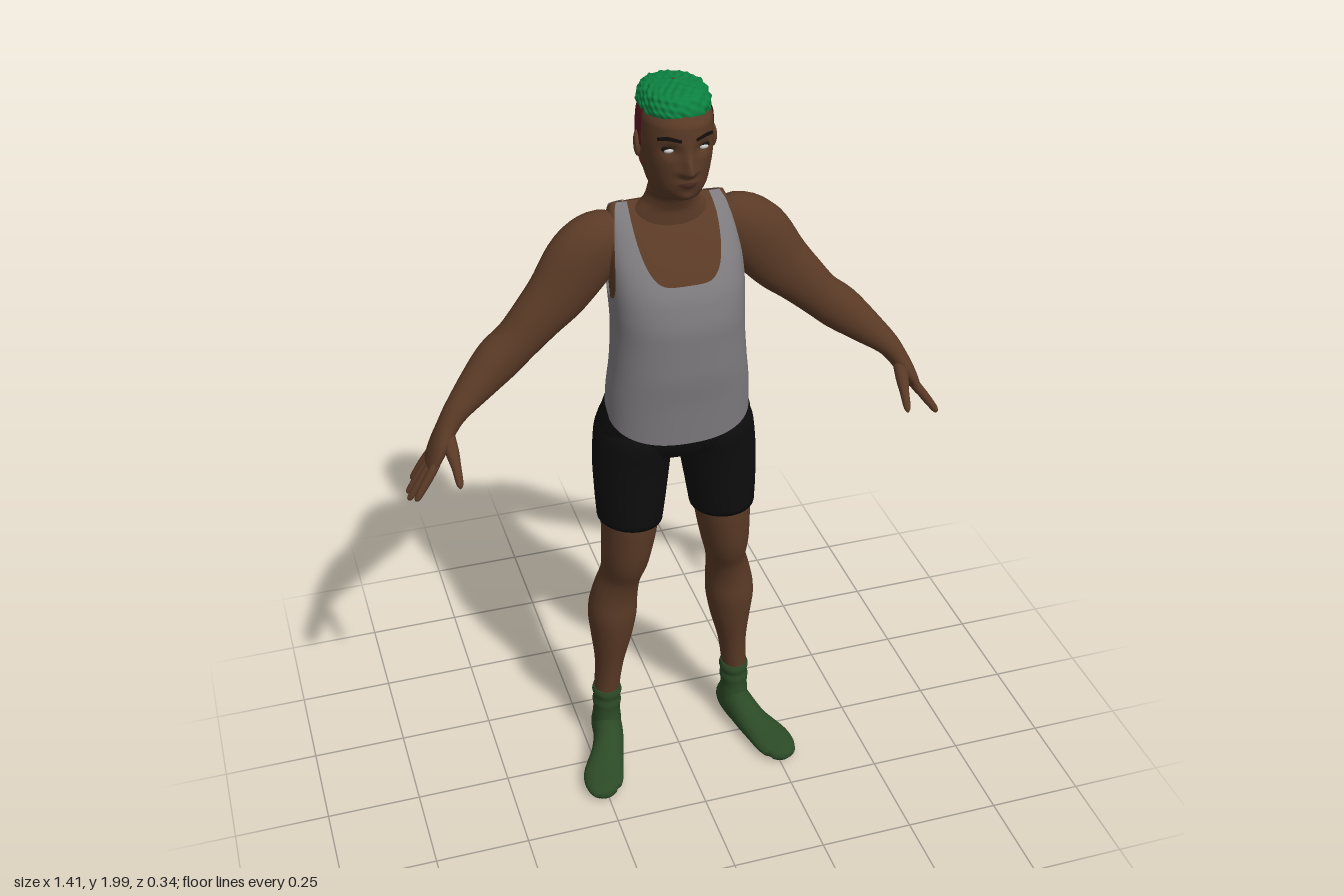
import * as THREE from 'three';

const mat = (color) => new THREE.MeshStandardMaterial({ color, side: THREE.DoubleSide });
const skin = mat(0x5a3a26), cloth = mat(0x7d7a7d), black = mat(0x0d0d0d), sock = mat(0x2c4a26);
const green = mat(0x0c8040), maroon = mat(0x5c1820), white = mat(0xe8e8e8), dark = mat(0x17100c), lip = mat(0x4a2a20);

const gauss = (d, w) => Math.exp(-(d * d) / (w * w));
const spow = (c, e) => Math.sign(c) * Math.abs(c) ** e;

function gridMesh(name, material, pos, index) {
  const g = new THREE.BufferGeometry();
  g.setAttribute('position', new THREE.Float32BufferAttribute(pos, 3));
  g.setIndex(index);
  g.computeVertexNormals();
  const m = new THREE.Mesh(g, material);
  m.name = name;
  return m;
}

// Smooth, overshoot-free interpolation of rows [y, ...values]
function sample(keys, y) {
  let i = 0;
  while (i < keys.length - 2 && y > keys[i + 1][0]) i++;
  const h = keys[i + 1][0] - keys[i][0];
  const t = Math.min(1, Math.max(0, (y - keys[i][0]) / h));
  const slope = (k, c) => (keys[k + 1][c] - keys[k][c]) / (keys[k + 1][0] - keys[k][0]);
  const tangent = (k, c) => {
    if (k === 0) return slope(0, c);
    if (k === keys.length - 1) return slope(k - 1, c);
    const a = slope(k - 1, c), b = slope(k, c);
    return a * b <= 0 ? 0 : (2 * a * b) / (a + b);
  };
  return keys[0].slice(1).map((_, n) => {
    const c = n + 1, t2 = t * t, t3 = t2 * t;
    return (2 * t3 - 3 * t2 + 1) * keys[i][c] + (t3 - 2 * t2 + t) * h * tangent(i, c)
      + (3 * t2 - 2 * t3) * keys[i + 1][c] + (t3 - t2) * h * tangent(i + 1, c);
  });
}

// Body surface from rows [y, back z, front z, half width, roundness]
const surface = (keys, deform) => (a, y, off) => {
  const [back, front, rx, e] = sample(keys, y);
  const p = new THREE.Vector3(
    Math.max(0.001, rx + off) * spow(Math.cos(a), e), y,
    (front + back) / 2 + Math.max(0.001, (front - back) / 2 + off) * spow(Math.sin(a), e));
  if (deform) deform(p, a);
  return p;
};

// Patch of a body surface between two heights that may vary with the angle
function shell(name, material, surf, lo, hi, { off = 0, from = -Math.PI / 2, to = Math.PI * 1.5, cols = 96, rows = 40 } = {}) {
  const closed = to - from > 6.28, n = closed ? cols : cols + 1, pos = [], index = [];
  for (let i = 0; i <= rows; i++) for (let j = 0; j < n; j++) {
    const a = from + ((to - from) * j) / cols, v = 1 - (1 - i / rows) ** 2;
    const l = lo.call ? lo(a) : lo, h = hi.call ? hi(a) : hi;
    pos.push(...surf(a, l + (h - l) * v, off).toArray());
    if (i < rows && j < cols) {
      const k = (j + 1) % n, r = i * n, s = r + n;
      index.push(r + j, s + j, s + k, r + j, s + k, r + k);
    }
  }
  return gridMesh(name, material, pos, index);
}

// Elliptical limb through rows [x, y, z, radius along ref, radius across]
function loft(name, material, rows, ref, sides = 28, sub = 5) {
  const path = new THREE.CatmullRomCurve3(rows.map((r) => new THREE.Vector3(...r)), false, 'catmullrom');
  const radii = new THREE.CatmullRomCurve3(rows.map((r) => new THREE.Vector3(r[3], r[4], 0)), false, 'catmullrom');
  const N = (rows.length - 1) * sub, pos = [], index = [];
  for (let i = 0; i <= N; i++) {
    const c = path.getPoint(i / N), r = radii.getPoint(i / N), T = path.getTangent(i / N);
    const A = ref.clone().addScaledVector(T, -ref.dot(T)).normalize(), B = T.clone().cross(A);
    for (let j = 0; j < sides; j++) {
      const a = (j / sides) * Math.PI * 2, k = (j + 1) % sides, p = i * sides, q = p + sides;
      pos.push(...c.clone().addScaledVector(A, r.x * Math.cos(a)).addScaledVector(B, r.y * Math.sin(a)).toArray());
      if (i < N) index.push(p + j, p + k, q + k, p + j, q + k, q + j);
    }
  }
  const end = pos.length / 3, last = N * sides;
  pos.push(...path.getPoint(0).toArray(), ...path.getPoint(1).toArray());
  for (let j = 0; j < sides; j++) {
    const k = (j + 1) % sides;
    index.push(end, k, j, end + 1, last + j, last + k);
  }
  return gridMesh(name, material, pos, index);
}

function ball(name, material, p, s) {
  const m = new THREE.Mesh(new THREE.SphereGeometry(1, 20, 14), material);
  m.name = name;
  m.position.set(...p);
  m.scale.set(...s);
  return m;
}

const X = new THREE.Vector3(1, 0, 0), Z = new THREE.Vector3(0, 0, 1);

const torso = surface([
  [1.08, -0.14, 0.098, 0.186, 0.85], [1.2, -0.135, 0.106, 0.182, 0.85], [1.3, -0.133, 0.115, 0.171, 0.85],
  [1.4, -0.14, 0.115, 0.165, 0.82], [1.48, -0.15, 0.1, 0.167, 0.78], [1.55, -0.158, 0.062, 0.168, 0.72],
  [1.6, -0.16, 0.022, 0.165, 0.7], [1.64, -0.155, -0.015, 0.16, 0.7], [1.665, -0.142, -0.045, 0.155, 0.7],
  [1.685, -0.098, -0.086, 0.145, 0.7]]);

const pelvis = surface([
  [1.015, -0.1, 0.03, 0.08, 0.9], [1.035, -0.15, 0.065, 0.17, 0.9], [1.08, -0.168, 0.082, 0.2, 0.85],
  [1.15, -0.153, 0.088, 0.186, 0.85], [1.22, -0.125, 0.085, 0.165, 0.85]]);

// Nose, eye sockets, lips and chin are pushed out of the plain head form
const head = surface([
  [1.64, -0.14, -0.02, 0.105, 1], [1.67, -0.128, -0.02, 0.09, 1], [1.695, -0.118, -0.012, 0.068, 1],
  [1.722, -0.115, 0.005, 0.06, 1], [1.74, -0.116, 0.055, 0.06, 1], [1.77, -0.12, 0.07, 0.07, 0.95],
  [1.8, -0.13, 0.074, 0.078, 0.95], [1.84, -0.14, 0.077, 0.085, 0.95], [1.88, -0.143, 0.079, 0.087, 0.95],
  [1.92, -0.14, 0.077, 0.085, 0.95], [1.95, -0.132, 0.058, 0.076, 1], [1.975, -0.11, 0.03, 0.056, 1],
  [1.988, -0.06, -0.02, 0.01, 1]], (p, a) => {
  if (Math.sin(a) < 0.2) return;
  const ax = Math.abs(p.x), y = p.y;
  p.z += 0.026 * gauss(ax, 0.012 + 0.006 * gauss(y - 1.815, 0.015)) * gauss(y - 1.818, y > 1.818 ? 0.038 : 0.012)
    - 0.012 * gauss(ax - 0.038, 0.02) * gauss(y - 1.868, 0.016)
    + 0.007 * gauss(ax, 0.022) * gauss(y - 1.785, 0.012)
    + 0.006 * gauss(ax, 0.02) * gauss(y - 1.748, 0.012);
});

// Bumpy cropped curls
const curls = surface([
  [1.928, -0.14, 0.058, 0.079, 0.9], [1.95, -0.147, 0.062, 0.083, 0.9], [1.978, -0.135, 0.047, 0.075, 0.9],
  [1.99, -0.11, 0.022, 0.056, 0.95], [1.997, -0.05, -0.04, 0.003, 1]], (p) => {
  const b = Math.sin(p.x * 210 + p.y * 90) * Math.sin(p.z * 190 + p.x * 60) * Math.cos(p.y * 230 + p.z * 40);
  p.x *= 1 + 0.04 * b;
  p.y += 0.003 * b;
  p.z += 0.003 * b * Math.sign(p.z + 0.045);
});

function buildHead() {
  const g = new THREE.Group();
  g.name = 'head';
  g.add(shell('headAndNeck', skin, head, 1.64, 1.988, { cols: 160, rows: 120 }),
    shell('curlyHair', green, curls, (a) => 1.932 + 0.012 * Math.max(0, Math.sin(a)) ** 2, 1.997, { cols: 140, rows: 40 }),
    shell('shavedHair', maroon, head, (a) => 1.86 - 0.09 * Math.min(1, Math.max(0, 0.12 - Math.sin(a)) * 1.6), 1.945,
      { off: 0.003, from: -Math.PI * 1.06, to: Math.PI * 0.06 }));
  const mouth = (a) => 0.009 * Math.cos(((a - Math.PI / 2) / 0.32) * Math.PI / 2);
  g.add(shell('lips', lip, head, (a) => 1.786 - mouth(a), (a) => 1.786 + mouth(a) * 0.8,
    { off: 0.0015, from: Math.PI / 2 - 0.32, to: Math.PI / 2 + 0.32, cols: 24, rows: 8 }));
  for (const s of [1, -1]) {
    const mid = Math.PI / 2 - s * 0.5;
    g.add(shell('eyebrow', dark, head, (a) => 1.89 + 0.006 * gauss(a - mid, 0.3), (a) => 1.897 + 0.009 * gauss(a - mid, 0.3),
      { off: 0.003, from: mid - 0.32, to: mid + 0.32, cols: 20, rows: 6 }));
    g.add(ball('eyelid', dark, [s * 0.04, 1.871, 0.05], [0.0175, 0.0105, 0.0125]));
    g.add(ball('eye', white, [s * 0.041, 1.869, 0.053], [0.0135, 0.0075, 0.012]));
    const ear = ball('ear', skin, [s * 0.09, 1.856, -0.035], [0.009, 0.031, 0.019]);
    ear.rotation.set(-0.15, s * 0.35, 0);
    g.add(ear);
  }
  return g;
}

function buildArm() {
  const g = new THREE.Group();
  g.name = 'arm';
  g.add(loft('armAndPalm', skin, [
    [0.11, 1.6, -0.088, 0.04, 0.045], [0.17, 1.597, -0.086, 0.06, 0.074], [0.22, 1.555, -0.08, 0.062, 0.088],
    [0.28, 1.48, -0.072, 0.055, 0.079], [0.335, 1.425, -0.066, 0.051, 0.067], [0.39, 1.37, -0.062, 0.05, 0.058],
    [0.445, 1.325, -0.055, 0.05, 0.058], [0.505, 1.275, -0.035, 0.042, 0.046], [0.56, 1.228, -0.012, 0.033, 0.032],
    [0.588, 1.192, -0.002, 0.034, 0.026], [0.612, 1.152, 0.006, 0.044, 0.022], [0.633, 1.113, 0.01, 0.044, 0.016],
    [0.641, 1.098, 0.01, 0.034, 0.01]], Z));
  // Fingers: base z, tip [x, y, z]
  for (const [z, tip] of [[0.042, [0.688, 1.035, 0.062]], [0.02, [0.702, 1.02, 0.03]],
    [-0.002, [0.7, 1.022, 0.002]], [-0.023, [0.682, 1.035, -0.036]]]) {
    const at = (t, r) => [0.628 + (tip[0] - 0.628) * t, 1.12 + (tip[1] - 1.12) * t, z + (tip[2] - z) * t, r, r];
    g.add(loft('finger', skin, [at(0, 0.011), at(0.4, 0.0115), at(0.75, 0.0095), at(0.95, 0.007), at(1, 0.002)], Z, 12, 3));
  }
  g.add(loft('thumb', skin, [[0.59, 1.185, 0.01, 0.016, 0.016], [0.588, 1.15, 0.045, 0.017, 0.016],
    [0.585, 1.12, 0.075, 0.012, 0.012], [0.584, 1.09, 0.1, 0.009, 0.009], [0.584, 1.08, 0.108, 0.002, 0.002]], X, 12, 3));
  return g;
}

function buildLeg() {
  const g = new THREE.Group();
  g.name = 'leg';
  g.add(loft('shortsLeg', black, [
    [0.1, 1.15, -0.04, 0.07, 0.09], [0.106, 1.08, -0.045, 0.097, 0.122], [0.115, 1.0, -0.042, 0.1, 0.114],
    [0.122, 0.9, -0.032, 0.093, 0.102], [0.126, 0.82, -0.028, 0.085, 0.097]], X));
  g.add(loft('bareLeg', skin, [
    [0.126, 0.87, -0.028, 0.075, 0.09], [0.128, 0.8, -0.028, 0.073, 0.091], [0.138, 0.7, -0.033, 0.064, 0.081],
    [0.148, 0.62, -0.05, 0.054, 0.064], [0.16, 0.55, -0.065, 0.061, 0.066], [0.168, 0.48, -0.072, 0.066, 0.073],
    [0.172, 0.4, -0.075, 0.056, 0.065], [0.18, 0.3, -0.075, 0.039, 0.047], [0.19, 0.19, -0.078, 0.034, 0.038]], X));
  g.add(loft('sockCuff', sock, [
    [0.188, 0.212, -0.078, 0.037, 0.041], [0.188, 0.196, -0.078, 0.041, 0.044], [0.189, 0.178, -0.078, 0.037, 0.041],
    [0.189, 0.16, -0.078, 0.04, 0.043], [0.19, 0.135, -0.078, 0.037, 0.042], [0.19, 0.09, -0.08, 0.04, 0.049],
    [0.19, 0.05, -0.08, 0.038, 0.05]], X));
  g.add(loft('sockFoot', sock, [
    [0.186, 0.046, -0.141, 0.012, 0.016], [0.187, 0.05, -0.128, 0.033, 0.04], [0.19, 0.06, -0.09, 0.042, 0.051],
    [0.198, 0.062, -0.035, 0.042, 0.053], [0.216, 0.048, 0.02, 0.045, 0.039], [0.246, 0.036, 0.09, 0.055, 0.027],
    [0.256, 0.031, 0.135, 0.048, 0.022], [0.254, 0.027, 0.16, 0.027, 0.016], [0.253, 0.026, 0.168, 0.006, 0.005]], X));
  return g;
}

export function createModel() {
  const model = new THREE.Group();
  model.name = 'standingMan';
  // Vest outline: scooped neck, narrow straps, round armholes, hem lower in front
  const hem = (a) => 1.148 - 0.055 * Math.sin(a);
  const vestTop = (a) => {
    const c = Math.abs(Math.cos(a)), low = Math.sin(a) > 0 ? 1.525 : 1.615;
    if (c < 0.6) return low + (1.685 - low) * (c / 0.6) ** 4;
    if (c > 0.86) return 1.475 + 0.21 * (Math.acos(Math.min(1, c)) / Math.acos(0.86)) ** 3;
    return 1.685;
  };
  model.add(shell('torso', skin, torso, 1.2, 1.685, { off: -0.006 }),
    shell('vest', cloth, torso, hem, vestTop, { cols: 240, rows: 48 }),
    shell('shortsSeat', black, pelvis, 1.015, 1.22),
    buildHead());
  for (const side of [1, -1]) {
    for (const limb of [buildArm(), buildLeg()]) {
      limb.name = (side > 0 ? 'left' : 'right') + (limb.name === 'arm' ? 'Arm' : 'Leg');
      limb.scale.x = side;
      model.add(limb);
    }
  }
  return model;
}
